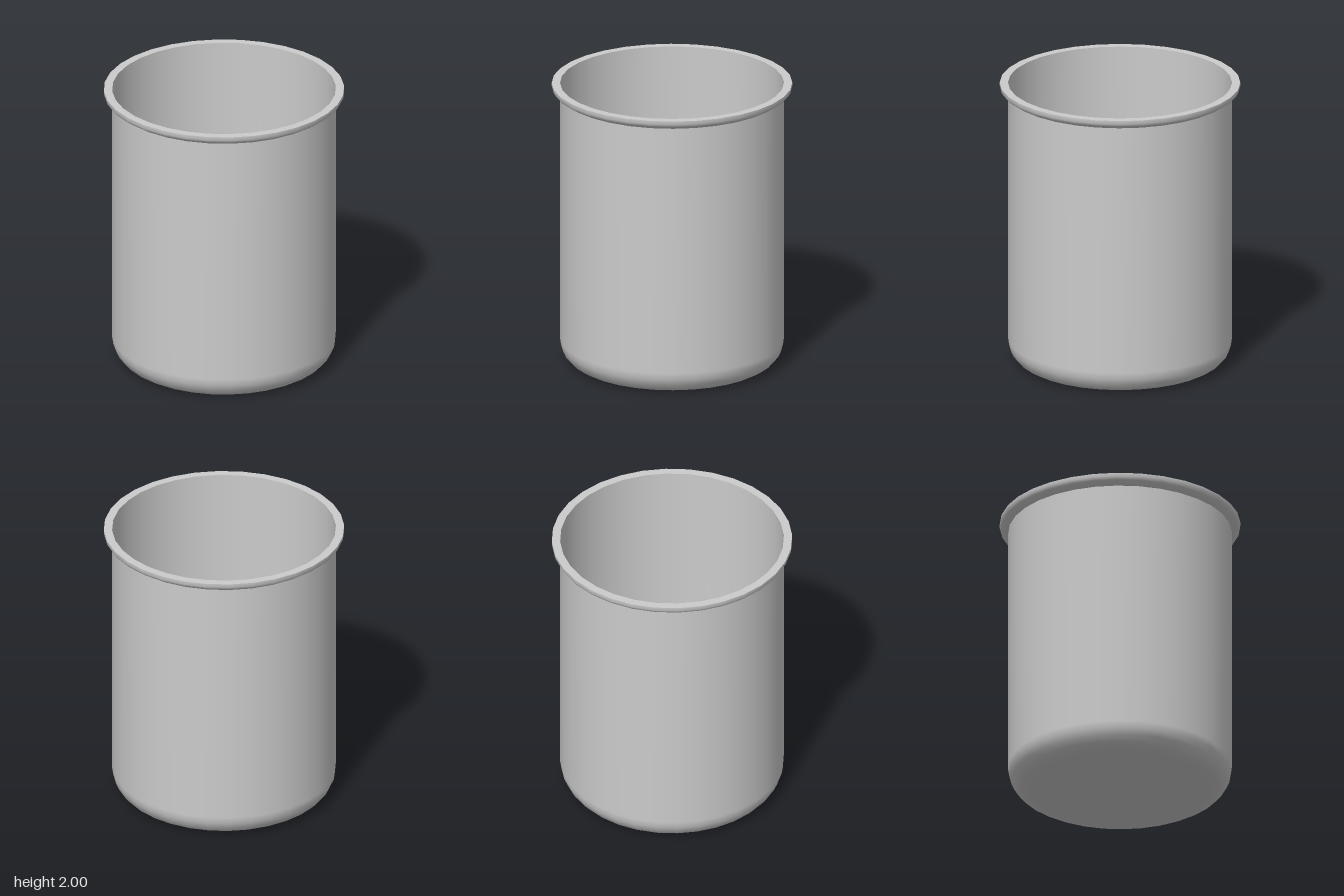
import * as THREE from 'three';

const SIDES = 32;
const WALL = 0.765;

export function createModel() {
  const model = new THREE.Group();
  const material = new THREE.MeshStandardMaterial({ color: 0xcccccc, side: THREE.DoubleSide });

  // Turns a profile of [radius, height] points about the y axis
  const addLathe = (name, profile) => {
    const points = profile.map(([r, y]) => new THREE.Vector2(r, y));
    const mesh = new THREE.Mesh(new THREE.LatheGeometry(points, SIDES), material);
    mesh.name = name;
    model.add(mesh);
  };

  // Thin vessel: flat base, rounded bottom corner, straight wall
  const corner = [];
  for (let i = 0; i <= 5; i++) {
    const a = (i / 5) * Math.PI / 2;
    corner.push([WALL - 0.14 + 0.14 * Math.sin(a), 0.16 * (1 - Math.cos(a))]);
  }
  addLathe('vesselBase', [[0, 0], corner[0]]);
  addLathe('vesselWall', [...corner, [WALL, 2]]);

  // Flared lip: curved underside and flat top ring
  addLathe('lipUnderside', [[WALL, 1.93], [0.775, 1.932], [0.81, 1.955], [0.822, 1.975], [0.822, 2]]);
  addLathe('lipTop', [[0.822, 2], [WALL, 2]]);

  return model;
}
